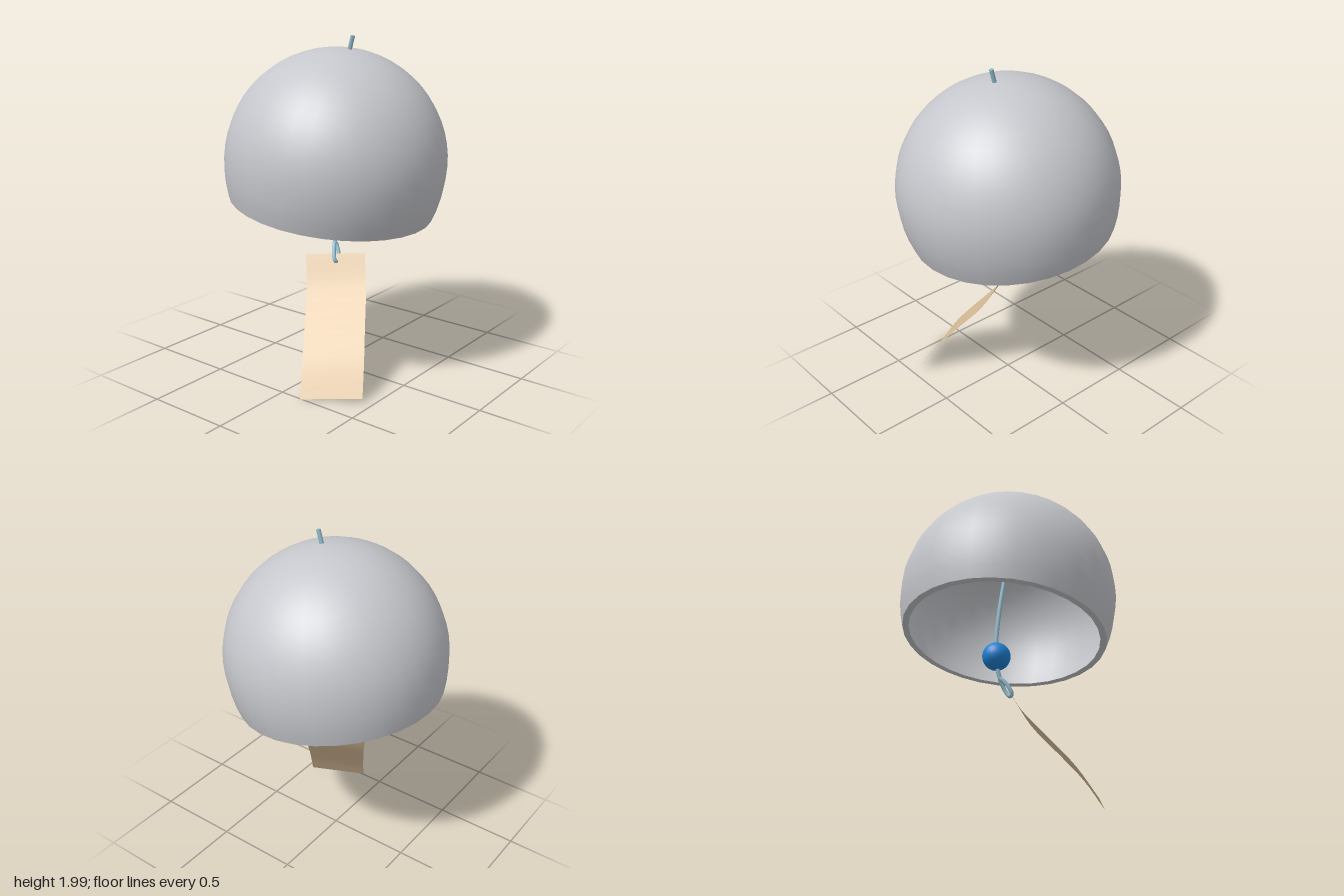
import * as THREE from 'three';

const v = (x, y, z) => new THREE.Vector3(x, y, z);
const material = (name, color) => {
  const m = new THREE.MeshStandardMaterial({ color });
  m.name = name;
  return m;
};

export function createModel() {
  const group = new THREE.Group();
  const grey = material('bell grey', 0xc6c7cc);
  const blue = material('bead blue', 0x1f80d2);
  const cordBlue = material('cord pale blue', 0x92bccd);
  const tan = material('paper tan', 0xdcc09a);
  tan.side = THREE.DoubleSide;

  const add = (name, geometry, mat, parent = group) => {
    const mesh = new THREE.Mesh(geometry, mat);
    mesh.name = name;
    parent.add(mesh);
    return mesh;
  };

  // Bell: hollow dome, tilted sideways, with a flat rim
  const bell = new THREE.Group();
  bell.name = 'bell';
  bell.position.set(0, 1.283, 0);
  bell.rotation.z = -0.142;
  group.add(bell);

  const rimY = -0.265;
  const domeProfile = (radius, steps = 18) => {
    const lower = 0.737 * radius / 0.643; // slightly stretched below the widest ring
    const start = -Math.asin(-rimY / lower);
    const points = [];
    for (let i = 0; i <= steps; i++) {
      const a = start + (Math.PI / 2 - start) * i / steps;
      const h = a < 0 ? lower : radius;
      points.push(new THREE.Vector2(Math.max(0, Math.cos(a) * radius), Math.sin(a) * h));
    }
    return points;
  };
  const outer = domeProfile(0.643);
  const inner = domeProfile(0.608);
  add('bellOuter', new THREE.LatheGeometry(outer, 32), grey, bell);
  add('bellInner', new THREE.LatheGeometry([...inner].reverse(), 32), grey, bell);
  add('bellRim', new THREE.LatheGeometry([inner[0], outer[0]], 32), grey, bell);

  // Cord: from above the bell, through the bead, to the paper
  const cordRadius = 0.0125;
  const cord = new THREE.CatmullRomCurve3([
    v(0.118, 1.993, 0), v(0.097, 1.92, 0), v(0.045, 1.7, -0.005), v(-0.005, 1.45, -0.02),
    v(-0.04, 1.2, -0.035), v(-0.055, 1.0, -0.045), v(-0.05, 0.84, -0.042), v(-0.033, 0.765, -0.034),
  ]);
  add('cord', new THREE.TubeGeometry(cord, 40, cordRadius, 8), cordBlue);
  const cap = add('cordTop', new THREE.CircleGeometry(cordRadius, 8), cordBlue);
  cap.position.copy(cord.getPoint(0));
  cap.quaternion.setFromUnitVectors(v(0, 0, 1), cord.getTangent(0).negate());

  // Loop tying the cord through the paper
  const loop = new THREE.CatmullRomCurve3([
    v(-0.034, 0.77, -0.035), v(-0.012, 0.722, 0.006), v(0.008, 0.672, 0.02),
    v(0.012, 0.664, 0.002), v(0.002, 0.70, -0.024),
  ], true);
  add('cordLoop', new THREE.TubeGeometry(loop, 32, cordRadius, 8, true), cordBlue);

  // Bead under the bell
  add('bead', new THREE.SphereGeometry(0.083, 32, 20), blue).position.set(-0.052, 0.905, -0.046);

  // Paper strip: a plane bent along its left edge
  const edge = new THREE.CatmullRomCurve3([
    v(-0.16, 0.695, 0.087), v(-0.09, 0.516, 0.167), v(0.008, 0.32, 0.31),
    v(0.077, 0.178, 0.41), v(0.137, 0.003, 0.505),
  ]);
  const across = v(0.306, 0.026, -0.176);
  const strip = new THREE.PlaneGeometry(1, 1, 1, 16);
  const pos = strip.attributes.position;
  for (let i = 0; i < pos.count; i++) {
    const p = edge.getPoint(0.5 - pos.getY(i)).addScaledVector(across, pos.getX(i) + 0.5);
    pos.setXYZ(i, p.x, p.y, p.z);
  }
  strip.computeVertexNormals();
  add('paperStrip', strip, tan);

  return group;
}
